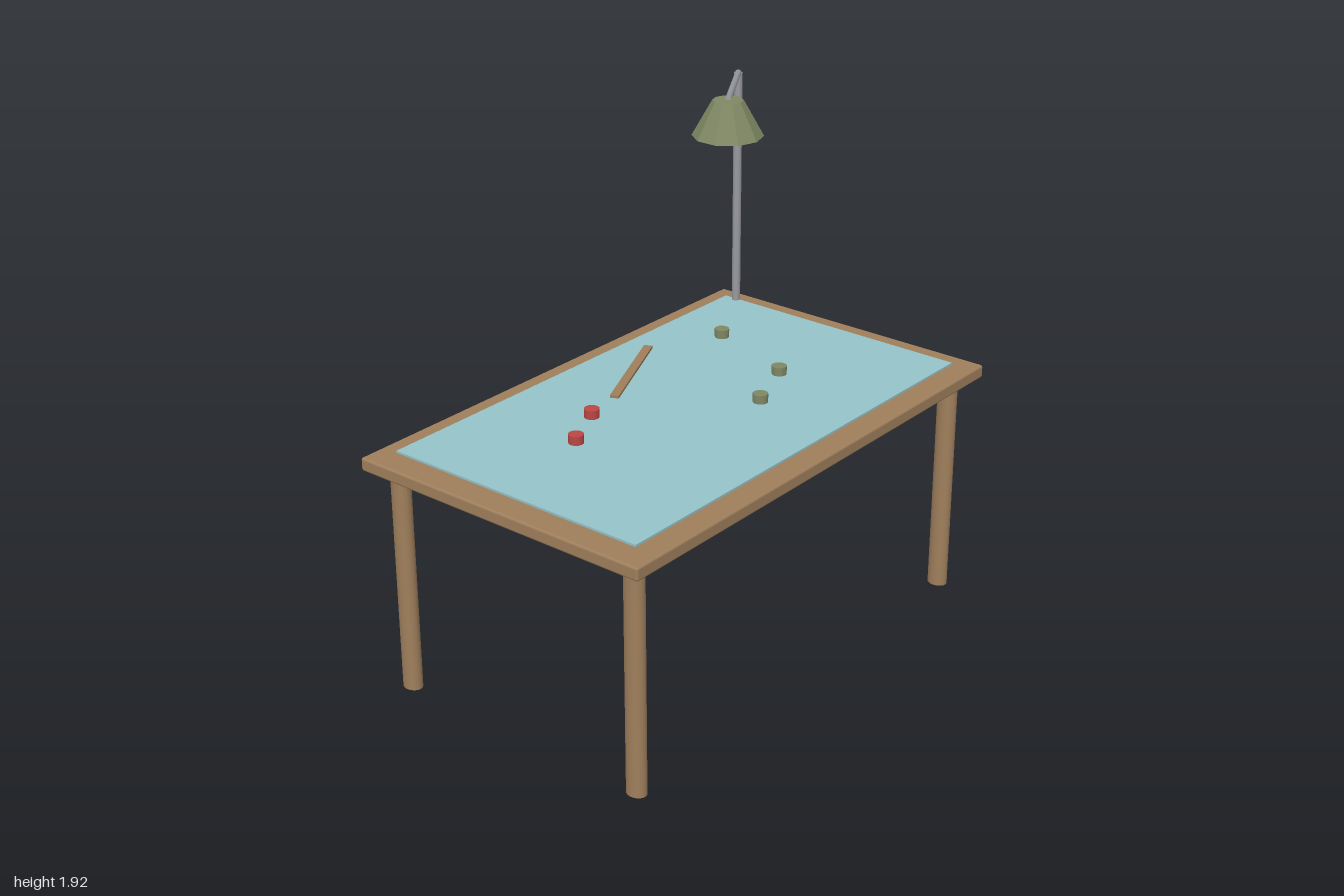
import * as THREE from 'three';
import { RoundedBoxGeometry } from 'three/addons/geometries/RoundedBoxGeometry.js';

const material = (name, color, flatShading = false) => {
  const m = new THREE.MeshStandardMaterial({ color, flatShading });
  m.name = name;
  return m;
};

export function createModel() {
  const model = new THREE.Group();
  model.name = 'gameTable';
  const wood = material('wood', 0x9f7f5c);
  const cloth = material('paleBlue', 0x95c3c9);
  const green = material('oliveGreen', 0x7f8763, true);
  const metal = material('greyMetal', 0x9a9b9f);
  const red = material('red', 0xbc4743);

  const add = (name, geometry, mat, x, y, z, parent = model) => {
    const mesh = new THREE.Mesh(geometry, mat);
    mesh.name = name;
    mesh.position.set(x, y, z);
    parent.add(mesh);
    return mesh;
  };

  // Slab with softened edges and a thin sheet lying over it
  add('tableTop', new RoundedBoxGeometry(2, 0.05, 1.23, 2, 0.009), wood, 0, 0.89, 0);
  add('playSheet', new THREE.BoxGeometry(1.82, 0.008, 1.065), cloth, 0, 0.928, 0);

  // Four slightly oval legs
  const legGeometry = new THREE.CylinderGeometry(0.039, 0.039, 0.867, 16);
  legGeometry.scale(0.82, 1, 1);
  for (const x of [-0.907, 0.907]) {
    for (const z of [-0.523, 0.523]) add('leg', legGeometry, wood, x, 0.4335, z);
  }

  // Counters on the sheet
  const counter = new THREE.CylinderGeometry(0.028, 0.028, 0.033, 12);
  for (const [x, z] of [[-0.477, -0.1], [-0.287, -0.195]]) add('redCounter', counter, red, x, 0.9485, z);
  for (const [x, z] of [[0.188, 0.188], [0.427, 0.093], [0.57, -0.286]]) {
    add('greenCounter', counter, green, x, 0.9485, z);
  }

  // Flat stick lying at an angle
  const stick = add('stick', new THREE.BoxGeometry(0.47, 0.01, 0.033), wood, 0.095, 0.937, -0.335);
  stick.rotation.y = 0.434;

  // Lamp: post, sloping arm and ten-sided shade
  const lamp = new THREE.Group();
  lamp.name = 'lamp';
  model.add(lamp);
  const rod = (name, from, to, radius) => {
    const dir = to.clone().sub(from);
    const mid = from.clone().addScaledVector(dir, 0.5);
    const mesh = add(name, new THREE.CylinderGeometry(radius, radius, dir.length(), 10), metal, mid.x, mid.y, mid.z, lamp);
    mesh.quaternion.setFromUnitVectors(new THREE.Vector3(0, 1, 0), dir.normalize());
  };
  const elbow = new THREE.Vector3(0.905, 1.86, -0.478);
  rod('lampPost', new THREE.Vector3(0.905, 0.91, -0.478), elbow, 0.0165);
  rod('lampArm', elbow, new THREE.Vector3(0.475, 1.908, -0.192), 0.012);
  add('lampShade', new THREE.CylinderGeometry(0.057, 0.131, 0.132, 10), green, 0.475, 1.841, -0.192, lamp);

  return model;
}
